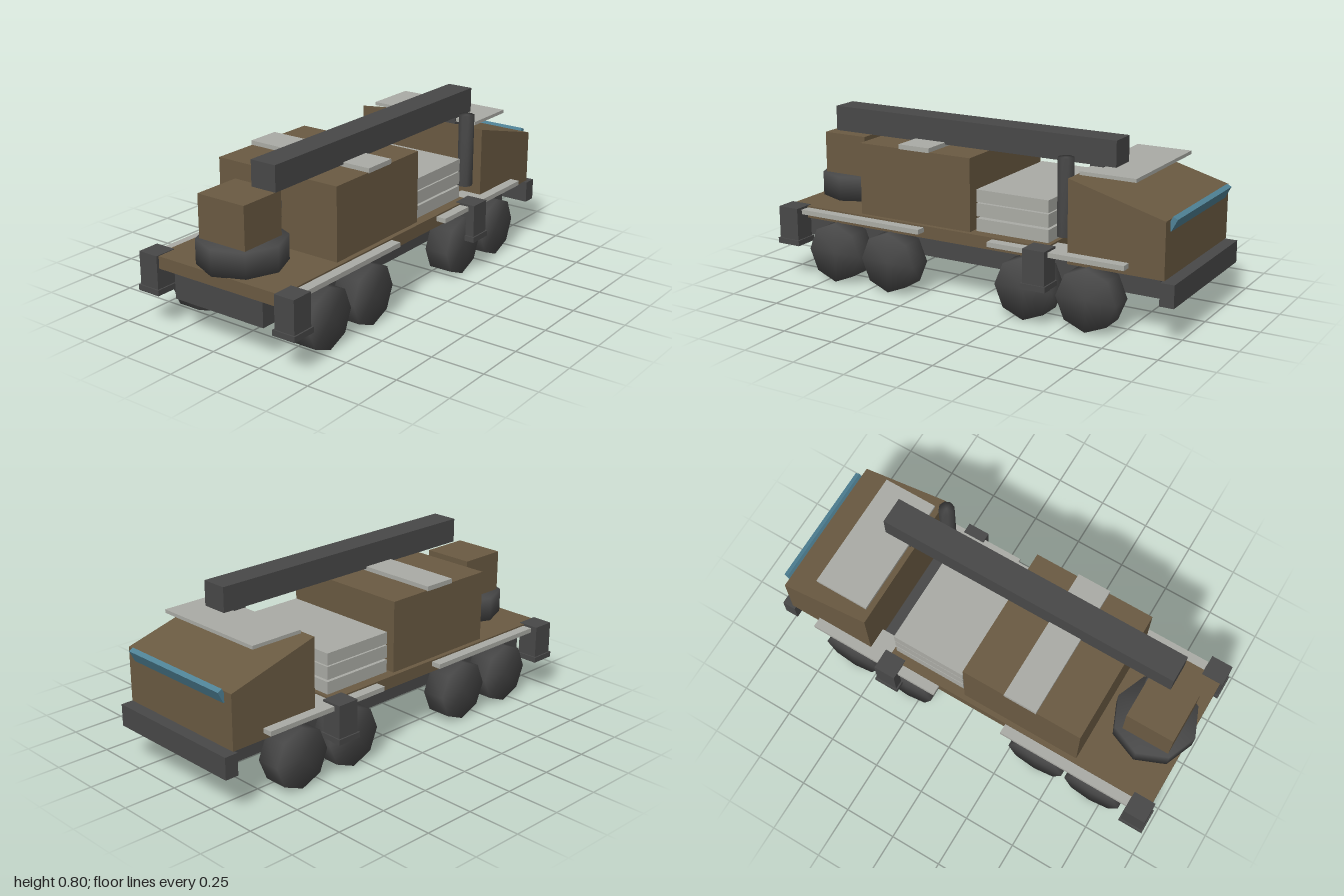
import * as THREE from 'three';
import { mergeVertices } from 'three/addons/utils/BufferGeometryUtils.js';

const material = (name, color) => {
  const m = new THREE.MeshStandardMaterial({ color });
  m.name = name;
  return m;
};

export function createModel() {
  const brown = material('olive brown paint', 0x6a5a42);
  const dark = material('dark grey metal', 0x484848);
  const light = material('light grey panel', 0xaaaba5);
  const blue = material('blue glass', 0x4f8296);
  const model = new THREE.Group();
  model.name = 'craneTruck';

  const add = (name, geometry, mat) => {
    const mesh = new THREE.Mesh(geometry, mat);
    mesh.name = name;
    model.add(mesh);
    return mesh;
  };
  // Box given by its limits on each axis
  const box = (name, mat, [x0, x1], [y0, y1], [z0, z1]) => {
    const mesh = add(name, new THREE.BoxGeometry(x1 - x0, y1 - y0, z1 - z0), mat);
    mesh.position.set((x0 + x1) / 2, (y0 + y1) / 2, (z0 + z1) / 2);
    return mesh;
  };
  // Eight-sided drum with normals smoothed over its rims
  const drum = (radius, height) => {
    const g = new THREE.CylinderGeometry(radius, radius, height, 8);
    g.deleteAttribute('normal');
    g.deleteAttribute('uv');
    const merged = mergeVertices(g);
    merged.computeVertexNormals();
    return merged;
  };

  // Frame, deck and rear bumper
  box('chassis', dark, [-0.242, 0.242], [0.16, 0.28], [-0.89, 0.96]);
  box('deck', brown, [-0.345, 0.345], [0.28, 0.337], [-0.405, 0.97]);
  box('bumper', dark, [-0.355, 0.355], [0.17, 0.272], [-1, -0.935]);

  // Cab with a sloping roof, extruded across x from its side outline
  const outline = new THREE.Shape([
    [0.505, 0.278], [0.95, 0.278], [0.95, 0.53], [0.505, 0.652],
  ].map(([a, b]) => new THREE.Vector2(a, b)));
  const cabGeometry = new THREE.ExtrudeGeometry(outline, { depth: 0.69, bevelEnabled: false });
  cabGeometry.translate(0, 0, -0.345);
  cabGeometry.rotateY(Math.PI / 2);
  add('cab', cabGeometry, brown);
  box('cabRoofPanel', light, [-0.29, 0.29], [0.658, 0.674], [-0.79, -0.53]);
  const windscreen = box('windscreen', blue, [-0.3, 0.3], [0.48, 0.54], [-0.969, -0.945]);
  windscreen.rotation.x = -0.48;

  // Main body and cargo stack
  box('body', brown, [-0.322, 0.322], [0.337, 0.672], [-0.01, 0.577]);
  box('bodyRoofPanel', light, [-0.326, 0.326], [0.67, 0.692], [0.2, 0.36]);
  [[0.34, 0.398], [0.408, 0.468], [0.474, 0.53]].forEach((y) =>
    box('cargoSlab', light, [-0.3, 0.3], y, [-0.39, -0.03]));

  // Front turret
  add('turretRing', drum(0.195, 0.116), dark).position.set(0, 0.393, 0.8);
  box('turret', brown, [-0.125, 0.125], [0.45, 0.647], [0.695, 0.925]);
  box('turretLatch', dark, [0.07, 0.12], [0.53, 0.6], [0.687, 0.7]);

  // Boom, its rest and the exhaust stack
  box('boom', dark, [0.063, 0.19], [0.682, 0.798], [-0.65, 0.805]);
  box('boomRest', dark, [0.07, 0.183], [0.61, 0.69], [-0.588, -0.525]);
  add('exhaustStack', drum(0.037, 0.345), dark).position.set(0.285, 0.553, -0.463);

  for (const side of [-1, 1]) {
    const span = (a, b) => (side > 0 ? [a, b] : [-b, -a]);
    // Wheels
    for (const z of [0.7, 0.4, -0.31, -0.61]) {
      const wheel = add('wheel', drum(0.142, 0.115), dark);
      wheel.rotation.z = Math.PI / 2;
      wheel.position.set(side * 0.3225, 0.142, z);
    }
    // Fenders
    box('rearFender', light, span(0.242, 0.392), [0.308, 0.33], [-0.79, -0.135]);
    box('frontFender', light, span(0.242, 0.392), [0.308, 0.33], [0.22, 0.875]);
    // Outrigger legs with foot pads
    for (const z of [0.93, -0.383]) {
      box('outriggerLeg', dark, span(0.322, 0.423), [0.186, 0.34], [z - 0.053, z + 0.053]);
      box('outriggerFoot', dark, span(0.315, 0.43), [0.161, 0.187], [z - 0.06, z + 0.06]);
    }
  }
  return model;
}
